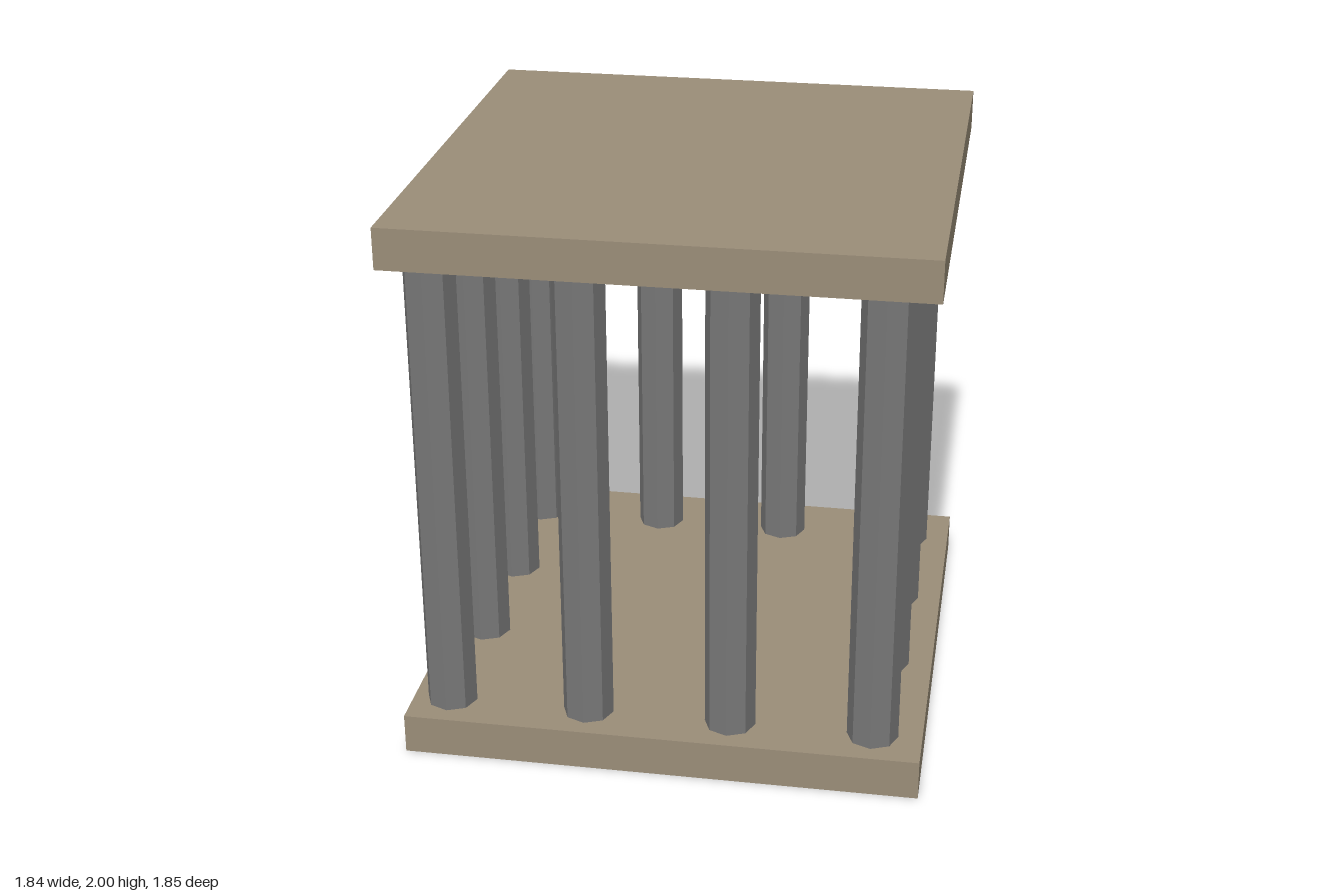
import * as THREE from 'three';

export function createModel() {
  const model = new THREE.Group();
  const stone = new THREE.MeshStandardMaterial({ color: 0x9a8d78 });
  const iron = new THREE.MeshStandardMaterial({ color: 0x787878, flatShading: true });

  // Square slabs at the bottom and top
  const slabHeight = 0.146;
  const slabGeometry = new THREE.BoxGeometry(1.84, slabHeight, 1.846);
  for (const [name, y] of [['baseSlab', slabHeight / 2], ['roofSlab', 2 - slabHeight / 2]]) {
    const slab = new THREE.Mesh(slabGeometry, stone);
    slab.name = name;
    slab.position.y = y;
    model.add(slab);
  }

  // Octagonal columns around the perimeter, four to a side
  const columns = new THREE.Group();
  columns.name = 'columns';
  const columnGeometry = new THREE.CylinderGeometry(0.091, 0.091, 2 - 2 * slabHeight, 8);
  const xs = [-0.78, -0.277, 0.236, 0.744];
  const zs = [-0.711, -0.217, 0.276, 0.771];
  xs.forEach((x, i) => zs.forEach((z, j) => {
    if (i % 3 !== 0 && j % 3 !== 0) return; // the middle stays open
    const column = new THREE.Mesh(columnGeometry, iron);
    column.name = 'column';
    column.position.set(x, 1, z);
    columns.add(column);
  }));
  model.add(columns);

  return model;
}
